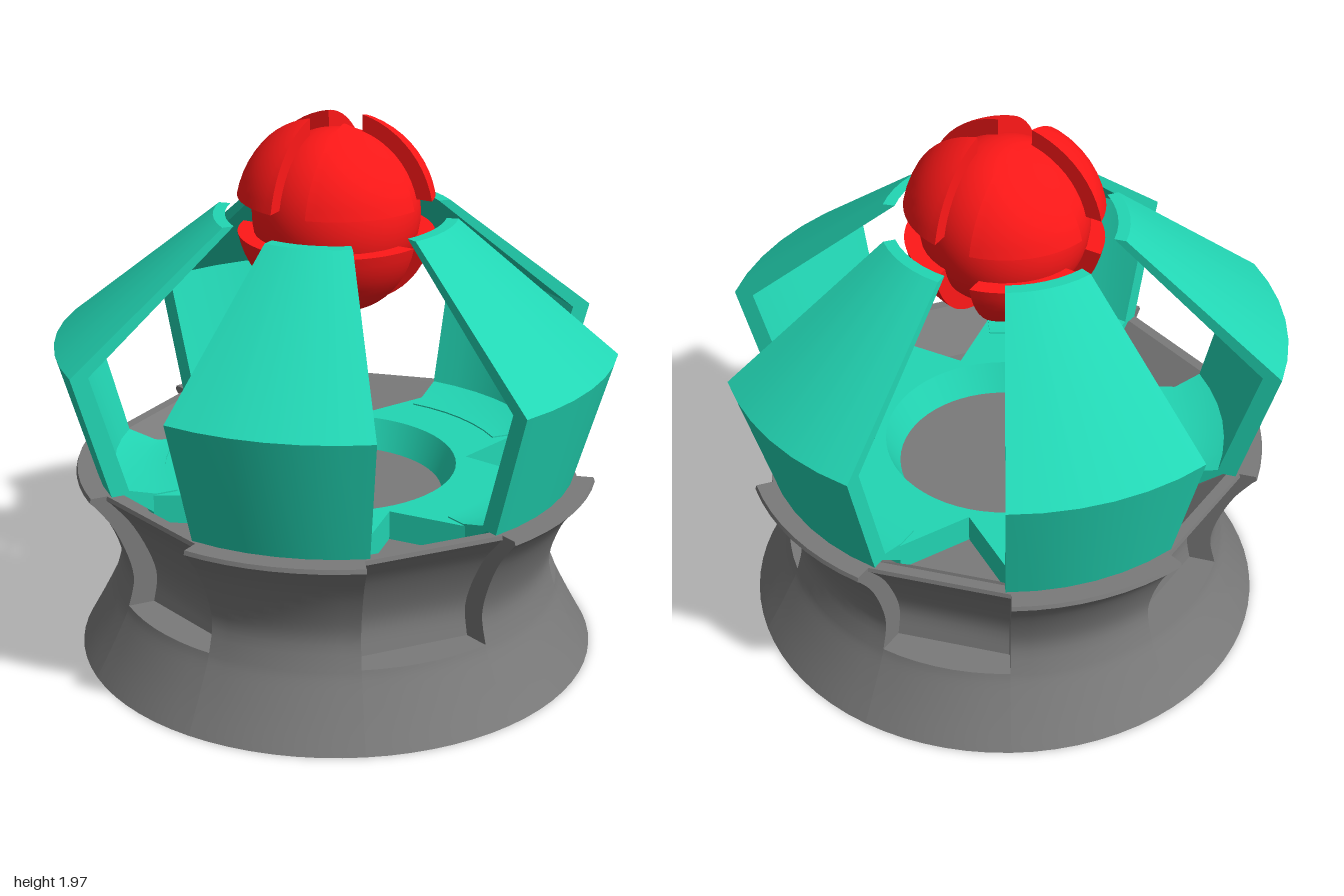
import * as THREE from 'three';
import { toCreasedNormals } from 'three/addons/utils/BufferGeometryUtils.js';

const D = Math.PI / 180;
const FIRST = 7.6;        // heading of the first panel, degrees from +z towards +x
const PANEL_HALF = 20.6;  // half angle of a panel
const SLOT_HALF = 16.7;   // half angle of a recess in the base

const mat = (color) => new THREE.MeshStandardMaterial({ color, side: THREE.DoubleSide });
const grey = mat(0x7a7a7a), green = mat(0x22d6b4), red = mat(0xff1818);
const v2 = (pts) => pts.map(([x, y]) => new THREE.Vector2(x, y));

function add(parent, name, geo, material) {
  const mesh = new THREE.Mesh(geo, material);
  mesh.name = name;
  parent.add(mesh);
  return mesh;
}

// Part of a turned surface between two headings in degrees
function sector(pts, from, to, segments) {
  return toCreasedNormals(new THREE.LatheGeometry(pts, segments, from * D, (to - from) * D), 0.5);
}

// Flat radial face with the outline given in (radius, height)
function radialFace(parent, name, pts, heading, material) {
  const face = add(parent, name, new THREE.ShapeGeometry(new THREE.Shape(pts)), material);
  face.rotation.y = (heading - 90) * D;
}

// Flared spool with five flat recesses and a bowl in its top
function makeBase() {
  const base = new THREE.Group();
  base.name = 'base';
  const lower = new THREE.SplineCurve(v2([[0.94, 0], [0.88, 0.11], [0.825, 0.22], [0.81, 0.26]])).getPoints(10);
  const upper = new THREE.SplineCurve(v2([[0.81, 0.26], [0.788, 0.36], [0.808, 0.46], [0.86, 0.58], [0.925, 0.67]])).getPoints(14);
  upper.push(...v2([[0.94, 0.685], [0.935, 0.7]]));
  const bowl = v2([[0.835, 0.7], [0.68, 0.57], [0, 0.57]]);
  const inset = upper.map((p) => new THREE.Vector2(p.x - 0.095 + 0.08 * (p.y - 0.26), p.y));

  for (let i = 0; i < 5; i++) {
    const mid = FIRST + 36 + i * 72, a = mid - SLOT_HALF, b = mid + SLOT_HALF;
    add(base, 'flaredWall', sector([...lower, ...upper.slice(1), ...bowl], b, a + 72, 8), grey);
    add(base, 'lowerFlare', sector(lower, a, b, 7), grey);
    add(base, 'recessLedge', sector(v2([[0.68, 0.26], [0.81, 0.26]]), a, b, 7), grey);
    add(base, 'recessWall', sector([...inset, ...bowl], a, b, 1), grey);
    for (const side of [a, b]) {
      radialFace(base, 'recessSide', [...upper, ...[...inset].reverse()], side, grey);
    }
    // underside of the bowl, reaching the wall and the back of the recess
    add(base, 'underside', sector(v2([[0, 0.52], [0.83, 0.52]]), b, a + 72, 8), grey);
    add(base, 'underside', sector(v2([[0, 0.52], [0.755, 0.52]]), a, b, 1), grey);
  }
  return base;
}

// Five bent panels standing on a star-shaped floor plate
function makeCage() {
  const cage = new THREE.Group();
  cage.name = 'cage';
  const profile = v2([
    [0.62, 0.6], [0.69, 0.6], [0.82, 0.702], [0.865, 0.702], [0.999, 1.165], [0.43, 1.625],
    [0.388, 1.625], [0.932, 1.16], [0.8, 0.715], [0.7, 0.685], [0.62, 0.685],
  ]);
  const star = [];
  for (let i = 0; i < 5; i++) {
    const mid = FIRST + i * 72, a = mid - PANEL_HALF, b = mid + PANEL_HALF;
    const panel = new THREE.Group();
    panel.name = 'panel';
    cage.add(panel);
    add(panel, 'panelShell', sector([...profile, profile[0]], a, b, 6), green);
    for (const side of [a, b]) radialFace(panel, 'panelSide', profile, side, green);
    // outer arc of the star, then the notch between two panels
    for (let k = 0; k <= 6; k++) {
      const t = (a + (b - a) * k / 6) * D;
      star.push(new THREE.Vector2(0.71 * Math.sin(t), -0.71 * Math.cos(t)));
    }
    const n = (mid + 36) * D;
    star.push(new THREE.Vector2(0.475 * Math.sin(n), -0.475 * Math.cos(n)));
  }
  const plate = new THREE.Shape(star);
  plate.holes.push(new THREE.Path().absarc(0, 0, 0.435, 0, Math.PI * 2, true));
  const floor = add(cage, 'floorPlate',
    new THREE.ExtrudeGeometry(plate, { depth: 0.105, bevelEnabled: false, curveSegments: 30 }), green);
  floor.rotation.x = -Math.PI / 2;
  floor.position.y = 0.575;
  add(cage, 'floorHoleBevel', sector(v2([[0.435, 0.68], [0.385, 0.572]]), 0, 360, 60), green);
  return cage;
}

// One eighth of a thick spherical shell, trimmed by planes at distance d
function shellPlate(inner, outer, d) {
  const geo = new THREE.BoxGeometry(1, 1, 1, 12, 12, 1);
  const pos = geo.attributes.position;
  for (let i = 0; i < pos.count; i++) {
    const u = pos.getX(i) + 0.5, v = pos.getY(i) + 0.5;
    const R = pos.getZ(i) > 0 ? outer : inner;
    const top = Math.sqrt(R * R - 2 * d * d);
    const y = d + (top - d) * Math.sin(v * Math.PI / 2);
    const ring = Math.sqrt(R * R - y * y);
    const a0 = Math.asin(Math.min(d / ring, Math.SQRT1_2));
    const a = a0 + u * (Math.PI / 2 - 2 * a0);
    pos.setXYZ(i, ring * Math.sin(a), y, ring * Math.cos(a));
  }
  return toCreasedNormals(geo, 0.6);
}

// Ball with eight raised plates parted by three grooves
function makeBall() {
  const ball = new THREE.Group();
  ball.name = 'ball';
  add(ball, 'ballCore', new THREE.SphereGeometry(0.295, 40, 28), red);
  const geo = shellPlate(0.285, 0.351, 0.066);
  for (const flip of [0, Math.PI]) {
    for (let i = 0; i < 4; i++) {
      const plate = add(ball, 'ballPlate', geo, red);
      plate.rotation.set(flip, i * Math.PI / 2, 0);
    }
  }
  ball.rotation.y = -8 * D;
  ball.position.y = 1.628;
  return ball;
}

export function createModel() {
  const model = new THREE.Group();
  model.name = 'model';
  model.add(makeBase(), makeCage(), makeBall());
  return model;
}
